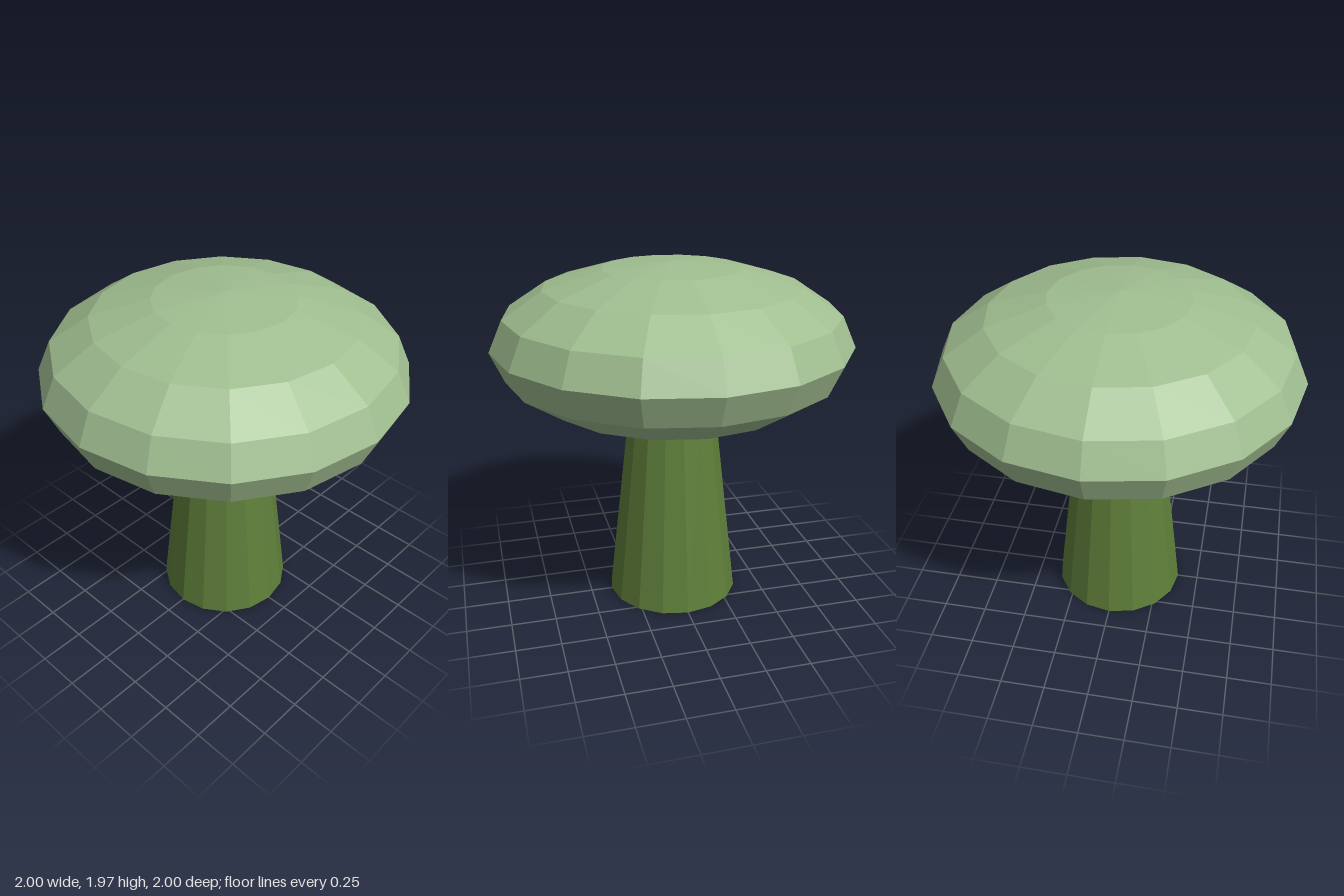
import * as THREE from 'three';

const SIDES = 16;

export function createModel() {
  const model = new THREE.Group();
  model.name = 'mushroom';

  const capGreen = new THREE.MeshStandardMaterial({ color: 0xa0be90, flatShading: true });
  capGreen.name = 'paleGreen';
  const stemGreen = new THREE.MeshStandardMaterial({ color: 0x5f7f3a, flatShading: true });
  stemGreen.name = 'oliveGreen';

  // Tapered stem, its top just inside the cap
  const stemHeight = 1.12;
  const stem = new THREE.Mesh(
    new THREE.CylinderGeometry(0.25, 0.378, stemHeight, SIDES),
    stemGreen
  );
  stem.name = 'stem';
  stem.position.y = stemHeight / 2;

  // Flattened faceted cap
  const capGeometry = new THREE.SphereGeometry(1, SIDES, 8);
  capGeometry.scale(1, 0.443, 1);
  const cap = new THREE.Mesh(capGeometry, capGreen);
  cap.name = 'cap';
  cap.position.y = 1.525;

  model.add(stem, cap);
  return model;
}
